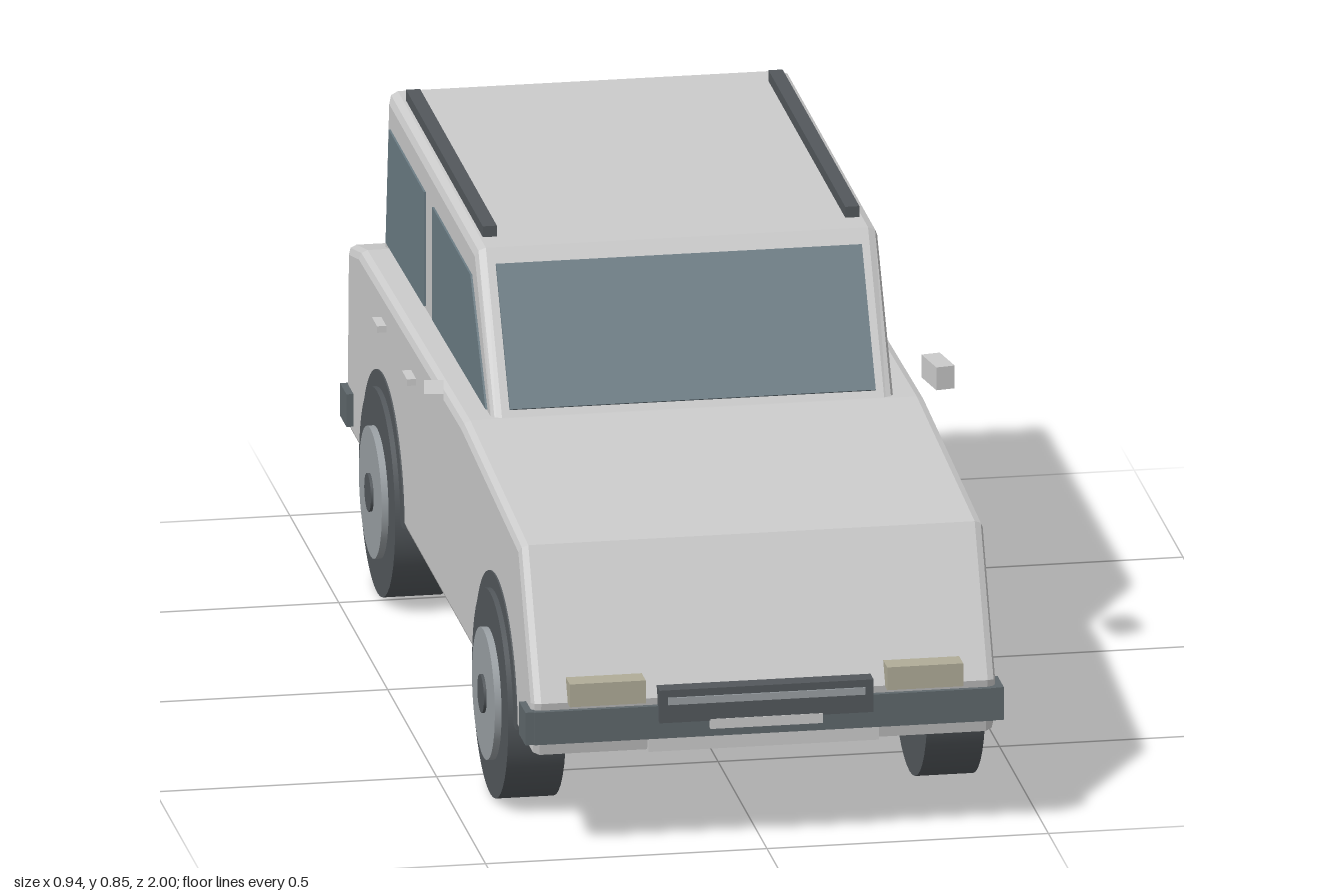
import * as THREE from 'three';

const material = (color) => new THREE.MeshStandardMaterial({ color, flatShading: false });
const paint = material(0xcccccc);
const glass = material(0x6b7c84);
const rubber = material(0x53585c);
const trim = material(0x5f686c);
const metal = material(0x9aa0a4);
const lamp = material(0xb0ac98);
const red = material(0xa05048);

export function createModel() {
  const model = new THREE.Group();

  const add = (name, geometry, mat, x = 0, y = 0, z = 0) => {
    const mesh = new THREE.Mesh(geometry, mat);
    mesh.name = name;
    mesh.position.set(x, y, z);
    model.add(mesh);
    return mesh;
  };
  const box = (name, mat, w, h, d, x, y, z) =>
    add(name, new THREE.BoxGeometry(w, h, d), mat, x, y, z);

  // Side outline given as [z, y] points, extruded across the car and centred on x = 0
  const slab = (points, width, bevel = 0) => {
    const shape = points instanceof THREE.Shape
      ? points
      : new THREE.Shape(points.map(([z, y]) => new THREE.Vector2(z, y)));
    const depth = width - 2 * bevel;
    const geometry = new THREE.ExtrudeGeometry(shape, {
      depth, bevelEnabled: bevel > 0, bevelSize: bevel, bevelThickness: bevel,
      bevelOffset: -bevel, bevelSegments: 2, curveSegments: 32,
    });
    return geometry.translate(0, 0, -depth / 2).rotateY(-Math.PI / 2);
  };

  // Lower body and cabin
  add('lowerBody', slab([
    [-0.905, 0.18], [0.955, 0.18], [0.975, 0.28], [0.842, 0.53], [0.25, 0.57],
    [-0.8, 0.547], [-0.915, 0.52], [-0.927, 0.25],
  ], 0.825, 0.016), paint);
  add('cabin', slab([
    [0.29, 0.5], [0.08, 0.83], [-0.82, 0.83], [-0.865, 0.5],
  ], 0.715, 0.018), paint);
  box('floorPan', trim, 0.78, 0.012, 1.82, 0, 0.181, 0.025);

  // Windscreen and rear window, leaning with the cabin ends
  box('windscreen', glass, 0.65, 0.264, 0.012, 0, 0.692, 0.167).rotation.x = -0.567;
  box('rearWindow', glass, 0.65, 0.16, 0.012, 0, 0.69, -0.839).rotation.x = 0.136;

  // Side windows run through the cabin so both sides match
  add('frontSideWindows', slab([
    [0.2, 0.572], [0.045, 0.77], [-0.345, 0.77], [-0.345, 0.562],
  ], 0.722), glass);
  add('rearSideWindows', slab([
    [-0.43, 0.56], [-0.43, 0.77], [-0.79, 0.77], [-0.822, 0.552],
  ], 0.722), glass);

  // Front face
  box('grille', rubber, 0.38, 0.06, 0.05, 0, 0.27, 0.972);
  box('grilleBar', metal, 0.35, 0.013, 0.006, 0, 0.28, 0.997);
  box('frontBumper', trim, 0.82, 0.06, 0.05, 0, 0.237, 0.957);
  box('frontPlate', paint, 0.2, 0.018, 0.012, 0, 0.234, 0.992);
  box('skidPlate', paint, 0.41, 0.03, 0.03, 0, 0.194, 0.953);

  // Rear face
  box('rearBumper', trim, 0.82, 0.035, 0.03, 0, 0.222, -0.917);
  const discAlongZ = (r, depth) => new THREE.CylinderGeometry(r, r, depth, 40).rotateX(Math.PI / 2);
  add('spareTyre', discAlongZ(0.145, 0.085), rubber, 0, 0.465, -0.955);
  add('spareCover', discAlongZ(0.118, 0.02), metal, 0, 0.465, -0.99);

  // Mirrored parts
  const discAlongX = (r, depth) => new THREE.CylinderGeometry(r, r, depth, 40).rotateZ(Math.PI / 2);
  for (const side of [1, -1]) {
    box('headlight', lamp, 0.135, 0.042, 0.045, side * 0.282, 0.299, 0.973);
    box('tailLight', red, 0.125, 0.045, 0.03, side * 0.287, 0.482, -0.925);
    box('frontBumperEnd', trim, 0.04, 0.06, 0.065, side * 0.405, 0.236, 0.944);
    box('rearBumperEnd', trim, 0.04, 0.06, 0.065, side * 0.405, 0.236, -0.885);
    box('roofRail', rubber, 0.025, 0.022, 0.785, side * 0.322, 0.839, -0.372);
    box('mirror', paint, 0.034, 0.042, 0.078, side * 0.448, 0.588, 0.172).rotation.y = side * 0.17;
    for (const z of [-0.238, -0.543]) {
      box('doorHandle', paint, 0.02, 0.012, 0.052, side * 0.419, 0.493, z);
    }

    // Wheels with dark arch panels set against the body side
    for (const z of [0.61, -0.545]) {
      const arch = new THREE.Shape().absarc(0, 0, 0.215, 0, Math.PI, false);
      add('wheelArch', slab(arch, 0.03), rubber, side * 0.4, 0.185, z);
      add('tyre', discAlongX(0.185, 0.103), rubber, side * 0.3725, 0.185, z);
      add('rim', discAlongX(0.117, 0.03), metal, side * 0.421, 0.185, z);
      add('hubCap', discAlongX(0.034, 0.02), rubber, side * 0.431, 0.185, z);
    }
  }
  return model;
}
